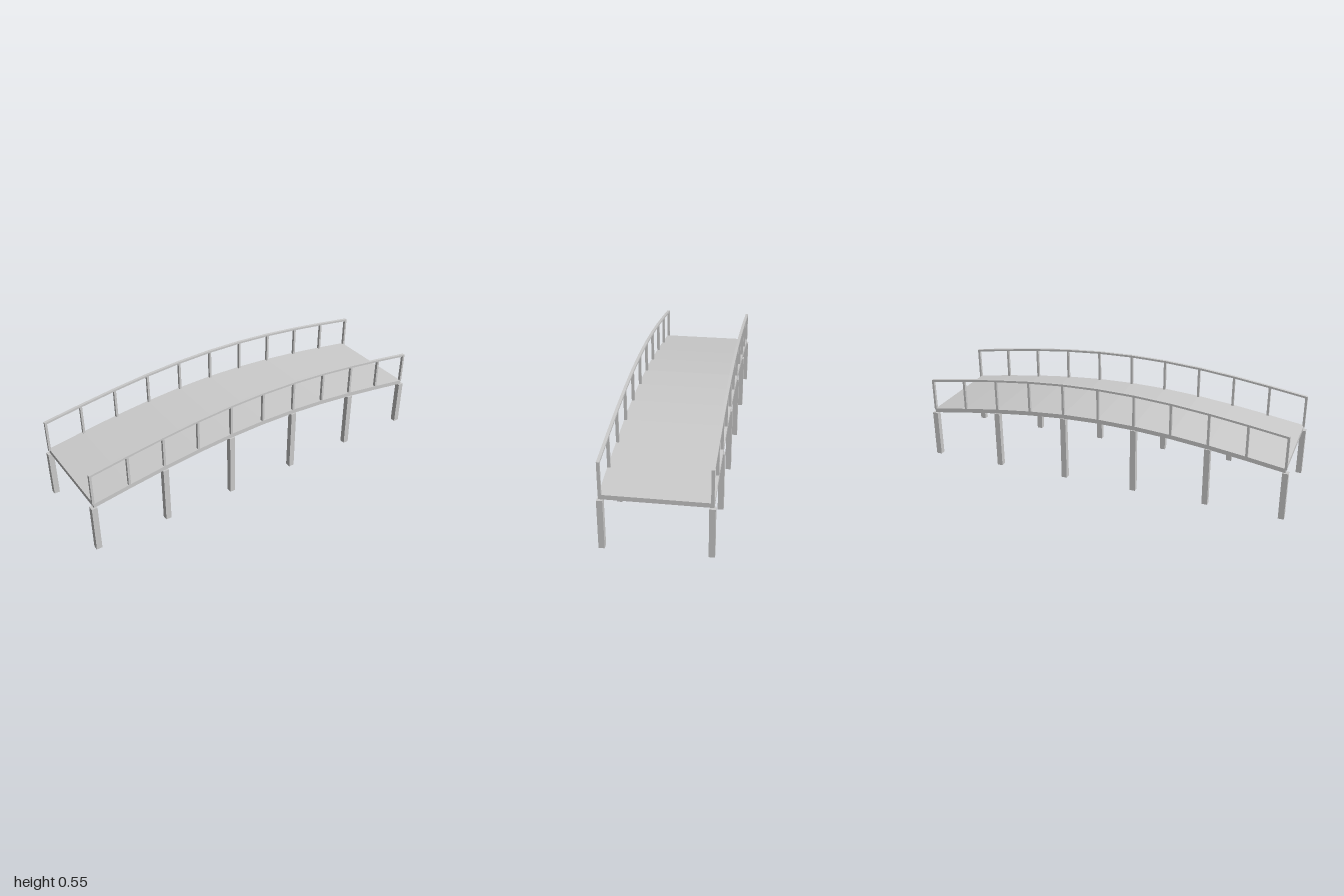
import * as THREE from 'three';

const HALF = 0.985; // half of the span between the end posts
const SEGMENTS = 10;
const SIDE_Z = 0.2555; // centre line of railings and legs

// Height lost below the crown of the arch at position x
const drop = (x) => 0.098 * (1 - Math.cos((Math.PI / 2) * Math.min(1, Math.abs(x) / HALF)));

export function createModel() {
  const group = new THREE.Group();
  const material = new THREE.MeshStandardMaterial({ color: 0xcccccc, flatShading: true });

  const add = (name, geometry, x, y, z) => {
    const mesh = new THREE.Mesh(geometry, material);
    mesh.name = name;
    mesh.position.set(x, y, z);
    group.add(mesh);
  };

  // Arched band between two heights at the crown, extruded across z
  const archBand = (bottom, top, depth, half) => {
    const upper = [], lower = [];
    for (let i = 0; i <= SEGMENTS; i++) {
      const x = -HALF + (2 * HALF * i) / SEGMENTS;
      const px = (x * half) / HALF;
      lower.push(new THREE.Vector2(px, bottom - drop(x)));
      upper.push(new THREE.Vector2(px, top - drop(x)));
    }
    const shape = new THREE.Shape([...lower, ...upper.reverse()]);
    const geometry = new THREE.ExtrudeGeometry(shape, { depth, bevelEnabled: false });
    return geometry.translate(0, 0, -depth / 2);
  };

  // Upright box standing between two heights
  const upright = (name, x, z, bottom, top, width, depth) =>
    add(name, new THREE.BoxGeometry(width, top - bottom, depth), x, (top + bottom) / 2, z);

  add('deck', archBand(0.355, 0.378, 0.526, HALF), 0, 0, 0);

  for (const side of [-1, 1]) {
    const z = side * SIDE_Z;
    add('handrail', archBand(0.539, 0.55, 0.015, HALF + 0.006), 0, 0, z);

    // Railing posts
    for (let i = 0; i <= SEGMENTS; i++) {
      const x = -HALF + (2 * HALF * i) / SEGMENTS;
      upright('railingPost', x, z, 0.372 - drop(x), 0.543 - drop(x), 0.012, 0.015);
    }

    // Legs under every second bay
    for (let i = 0; i < 6; i++) {
      const x = -HALF + (2 * HALF * i) / 5;
      upright('leg', x, z, 0, 0.356 - drop(x) - 0.001, 0.03, 0.029);
    }
  }
  return group;
}
